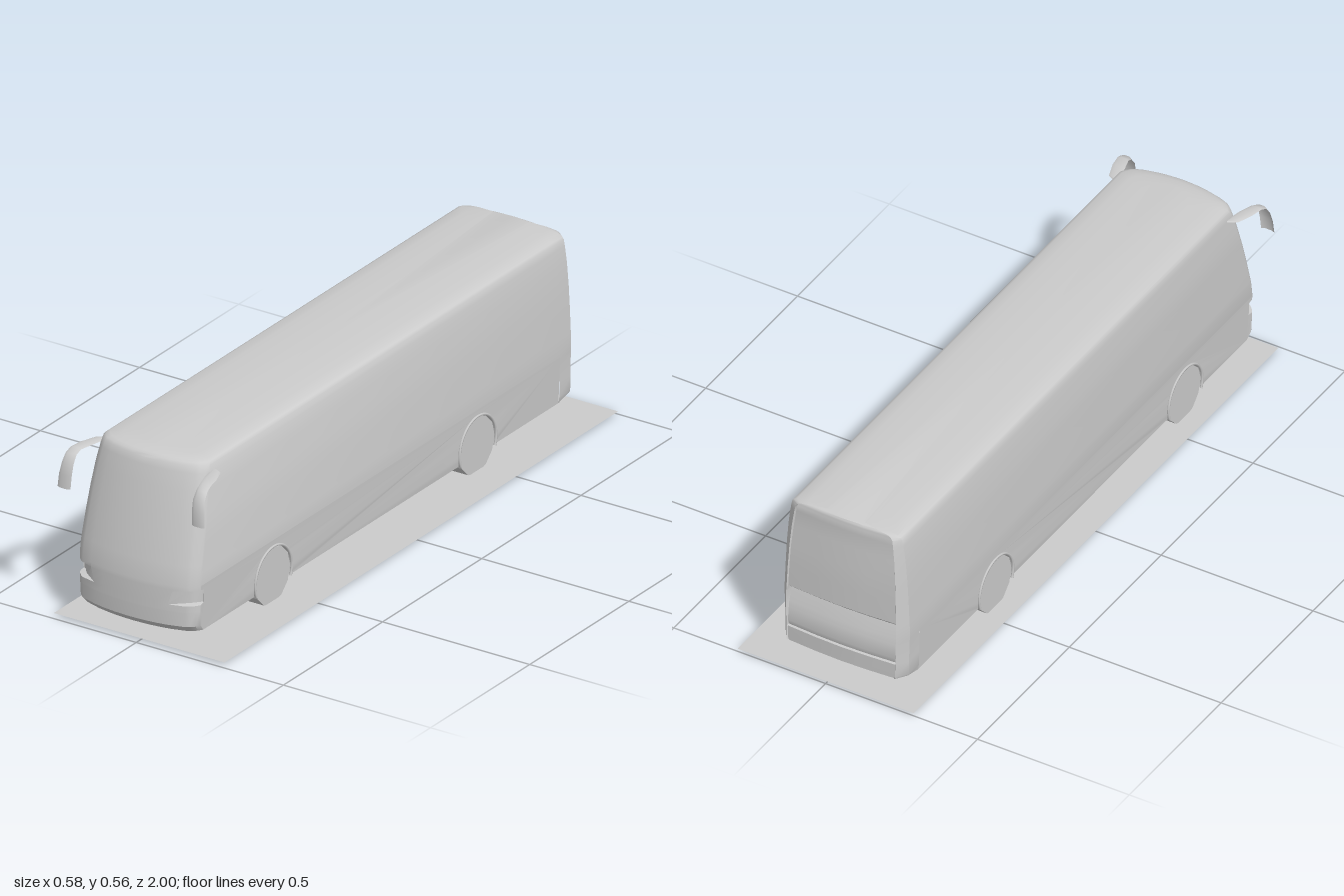
import * as THREE from 'three';
import { toCreasedNormals } from 'three/addons/utils/BufferGeometryUtils.js';

const CENTRE_X = -0.026;
const mat = new THREE.MeshStandardMaterial({ color: 0xcccccc });
const thin = new THREE.MeshStandardMaterial({ color: 0xcccccc, side: THREE.DoubleSide });
const faceted = new THREE.MeshStandardMaterial({ color: 0xcccccc, flatShading: true });

// Body levels: [y, half width, front z, rear z, rear recess, headlight depth]
const LEVELS = [
  [0.055, 0.2, 0.98, -0.96, 0, 0], [0.075, 0.203, 0.998, -0.96, 0, 0],
  [0.118, 0.204, 1, -0.96, 0, 0], [0.122, 0.204, 1, -0.96, 0.005, 0],
  [0.14, 0.204, 1, -0.96, 0, 0], [0.143, 0.204, 1, -0.96, 0, 0.028],
  [0.183, 0.205, 1, -0.96, 0.006, 0.028], [0.187, 0.205, 1, -0.96, 0.007, 0],
  [0.2, 0.206, 0.999, -0.96, 0.01, 0], [0.24, 0.206, 0.993, -0.958, 0.022, 0],
  [0.26, 0.205, 0.989, -0.957, 0, 0], [0.33, 0.202, 0.973, -0.955, 0, 0],
  [0.4, 0.198, 0.956, -0.952, 0, 0], [0.47, 0.192, 0.938, -0.948, 0.003, 0],
  [0.52, 0.185, 0.924, -0.945, 0.003, 0], [0.54, 0.181, 0.917, -0.943, 0, 0],
  [0.547, 0.176, 0.911, -0.942, 0, 0], [0.552, 0.166, 0.903, -0.94, 0, 0],
  [0.556, 0.13, 0.888, -0.938, 0, 0], [0.56, 0.07, 0.86, -0.93, 0, 0],
];
const SKIRT_TOP = 8;   // levels below this have separate sides with wheel arches
const CORNER = 8;      // column of the front corner
const KICK_Z = -0.87;
const WHEEL_Z = [0.575, -0.455], WHEEL_R = 0.088, ARCH_R = 0.094;
const ARCH_DROP = Math.asin((WHEEL_R - 0.055) / ARCH_R);

// Half outline at one level, from front centre round +x to rear centre
function halfOutline([y, w, zf, zr, recess, lamp], level) {
  const inner = 0.61 + 0.07 * THREE.MathUtils.clamp((y - 0.14) / 0.047, 0, 1);
  const lampShare = [0, 0, 0, 0, 0.75, 0.9, 1, 0.8, 0.6];
  const pts = [0, 0.25, 0.45, inner, 0.85, 0.9, 0.96, 0.99, 1].map((u, i) =>
    [u * w, y, zf - 0.035 * u * u - 0.025 * u ** 14 - lamp * lampShare[i]]);
  const rearY = level === 0 ? y + 0.014 : y;
  pts.push([w, y, KICK_Z], [w, rearY, Math.max(-0.925, zr + 0.015)],
    [w * 0.88, rearY, zr], [w * 0.865, rearY, zr + 0.004 + recess],
    [w * 0.4, rearY, zr - 0.002 + recess], [0, rearY, zr - 0.004 + recess]);
  return pts;
}

function bodyShell() {
  const rings = LEVELS.map((l, k) => {
    const half = halfOutline(l, k);
    return [...half, ...half.slice(1, -1).reverse().map(([x, y, z]) => [-x, y, z])];
  });
  const n = rings[0].length, pos = [];
  const tri = (...p) => p.forEach(q => pos.push(...q));
  for (let k = 0; k < rings.length - 1; k++) {
    for (let i = 0; i < n; i++) {
      if (k < SKIRT_TOP && (i === CORNER || i === n - CORNER - 1)) continue;
      const j = (i + 1) % n, lo = rings[k], hi = rings[k + 1];
      tri(lo[i], lo[j], hi[j]);
      tri(lo[i], hi[j], hi[i]);
    }
  }
  // floor and roof caps
  const top = rings[rings.length - 1];
  for (let i = 0; i < n; i++) {
    const j = (i + 1) % n;
    tri([0, 0.055, 0], rings[0][j], rings[0][i]);
    tri([0, 0.56, 0], top[i], top[j]);
  }
  const g = new THREE.BufferGeometry();
  g.setAttribute('position', new THREE.Float32BufferAttribute(pos, 3));
  return toCreasedNormals(g, 0.55);
}

function widthAt(y) {
  const k = Math.max(1, LEVELS.findIndex(l => l[0] >= y - 1e-6));
  const a = LEVELS[k - 1], b = LEVELS[k];
  return THREE.MathUtils.mapLinear(y, a[0], b[0], a[1], b[1]);
}

// Lower side panel with both wheel arches cut out
function skirt(side) {
  const s = new THREE.Shape();
  for (let k = 0; k <= SKIRT_TOP; k++) {
    const [, y, z] = halfOutline(LEVELS[k], k)[CORNER];
    k ? s.lineTo(z, y) : s.moveTo(z, y);
  }
  s.lineTo(KICK_Z, 0.2);
  s.lineTo(KICK_Z, 0.055);
  for (const z of [...WHEEL_Z].reverse()) {
    s.absarc(z, WHEEL_R, ARCH_R, Math.PI + ARCH_DROP, -ARCH_DROP, true);
  }
  const g = new THREE.ShapeGeometry(s, 24), p = g.attributes.position;
  for (let i = 0; i < p.count; i++) {
    const z = p.getX(i), y = p.getY(i);
    p.setXYZ(i, side * widthAt(y), y, z);
  }
  // keep the outer face in front on both sides
  if (side > 0) g.setIndex([...g.index.array].reverse());
  g.computeVertexNormals();
  return g;
}

// Mirror: curved ribbon, stations of [inner x, outer x, y, z]
function mirrorRibbon(side) {
  const st = [[0.172, 0.184, 0.522, 0.835], [0.18, 0.212, 0.523, 0.85], [0.19, 0.23, 0.523, 0.9],
    [0.202, 0.237, 0.521, 0.94], [0.204, 0.24, 0.511, 0.965], [0.203, 0.242, 0.485, 0.981],
    [0.204, 0.247, 0.45, 0.989], [0.206, 0.25, 0.41, 0.992]];
  const pos = [], idx = [];
  st.forEach(([a, b, y, z], k) => {
    const drop = k < 5 ? 0.003 : 0, back = k < 4 ? 0 : 0.005;
    for (const t of [0, 0.25, 0.75, 1]) {
      const edge = t === 0 || t === 1 ? 1 : 0;
      pos.push(side * (a + (b - a) * t), y - drop * edge, z - back * edge);
    }
    if (k) {
      for (let i = 0; i < 3; i++) {
        const p = (k - 1) * 4 + i, q = p + 4;
        idx.push(...(side > 0 ? [p, q, q + 1, p, q + 1, p + 1] : [p, q + 1, q, p, p + 1, q + 1]));
      }
    }
  });
  const g = new THREE.BufferGeometry();
  g.setAttribute('position', new THREE.Float32BufferAttribute(pos, 3));
  g.setIndex(idx);
  g.computeVertexNormals();
  return g;
}

export function createModel() {
  const model = new THREE.Group();
  model.name = 'bus';
  const bus = new THREE.Group();
  bus.name = 'vehicle';
  bus.position.x = CENTRE_X;
  model.add(bus);

  const add = (parent, name, geometry, material, x = 0, y = 0, z = 0) => {
    const m = new THREE.Mesh(geometry, material);
    m.name = name;
    m.position.set(x, y, z);
    parent.add(m);
    return m;
  };

  add(bus, 'body', bodyShell(), mat);

  const arc = Math.PI + 2 * ARCH_DROP;
  const wheelGeo = new THREE.CylinderGeometry(WHEEL_R, WHEEL_R, 0.066, 12).rotateZ(Math.PI / 2);
  const wellGeo = new THREE.CylinderGeometry(ARCH_R, ARCH_R, 0.075, 24, 1, true, -ARCH_DROP, arc)
    .rotateZ(Math.PI / 2);
  const wallGeo = new THREE.CircleGeometry(ARCH_R, 24, -ARCH_DROP, arc).rotateY(Math.PI / 2);
  const lipGeo = new THREE.TorusGeometry(ARCH_R - 0.002, 0.004, 6, 28, arc)
    .rotateZ(-ARCH_DROP).rotateY(Math.PI / 2);

  for (const side of [1, -1]) {
    const label = side > 0 ? 'left' : 'right';
    add(bus, label + 'Skirt', skirt(side), thin);
    add(bus, label + 'Mirror', mirrorRibbon(side), thin);
    WHEEL_Z.forEach((z, i) => {
      const end = label + (i ? 'Rear' : 'Front');
      add(bus, end + 'Wheel', wheelGeo, faceted, side * 0.17, WHEEL_R, z);
      add(bus, end + 'WheelWell', wellGeo, thin, side * 0.167, WHEEL_R, z);
      add(bus, end + 'WellWall', wallGeo, thin, side * 0.13, WHEEL_R, z);
      add(bus, end + 'ArchLip', lipGeo, mat, side * 0.206, WHEEL_R, z);
    });
  }

  // Flat ground panel that the tyres just poke through
  add(model, 'groundPanel', new THREE.PlaneGeometry(0.58, 1.985).rotateX(-Math.PI / 2), thin,
    0, 0.009, -0.007);
  return model;
}
